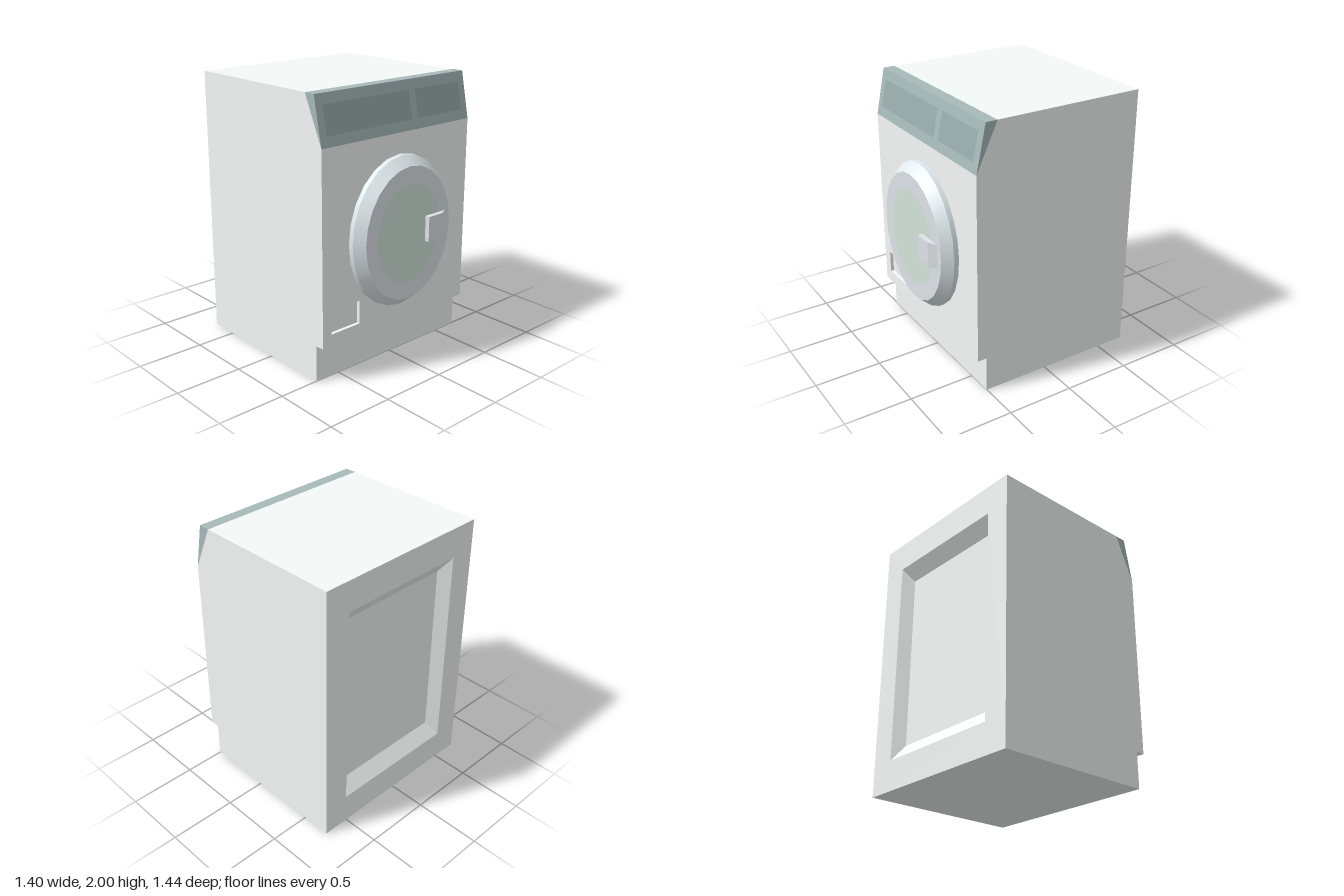
import * as THREE from 'three';

const W = 0.698, BACK = -0.72, FRONT = 0.572, TOE = 0.502;

const paint = (color) => new THREE.MeshStandardMaterial({ color });
const white = paint(0xf5f9f7);
const teal = paint(0xa7baba);
const tealDark = paint(0x98acac);
const steel = paint(0xe0eaee);
const doorGrey = paint(0xdfe4e8);
const glassGreen = paint(0xd3e4da);

function add(parent, name, geometry, material = white) {
  const mesh = new THREE.Mesh(geometry, material);
  mesh.name = name;
  parent.add(mesh);
  return mesh;
}

const polygon = (pts) => new THREE.Shape(pts.map(([x, y]) => new THREE.Vector2(x, y)));
const rect = (x0, y0, x1, y1) => [[x0, y0], [x1, y0], [x1, y1], [x0, y1]];

// Flat quads between two matching loops of 3D points
function loft(a, b, skip = []) {
  const pos = [];
  a.forEach((p, i) => {
    if (skip.includes(i)) return;
    const j = (i + 1) % a.length;
    pos.push(...p, ...a[j], ...b[j], ...p, ...b[j], ...b[i]);
  });
  const g = new THREE.BufferGeometry();
  g.setAttribute('position', new THREE.Float32BufferAttribute(pos, 3));
  g.computeVertexNormals();
  return g;
}

// Wall facing +z with a pocket sunk into it
function recessedWall(name, border, rim, floor, z, depth) {
  const group = new THREE.Group();
  group.name = name;
  const sheet = polygon(border);
  sheet.holes.push(polygon(rim));
  add(group, name + 'Sheet', new THREE.ShapeGeometry(sheet).translate(0, 0, z));
  add(group, name + 'PocketSides', loft(
    rim.map(([x, y]) => [x, y, z]),
    floor.map(([x, y]) => [x, y, z - depth])));
  add(group, name + 'PocketFloor',
    new THREE.ShapeGeometry(polygon(floor)).translate(0, 0, z - depth));
  return group;
}

function makeCabinet() {
  const cabinet = new THREE.Group();
  cabinet.name = 'cabinet';

  // Side outline as [z, y]; edges 1 and 4 are the recessed back and front walls
  const outline = [[TOE, 0], [BACK, 0], [BACK, 2], [0.415, 2],
    [FRONT, 1.66], [FRONT, 0.268], [TOE, 0.268]];
  add(cabinet, 'topBottomAndToeKick', loft(
    outline.map(([z, y]) => [-W, y, z]),
    outline.map(([z, y]) => [W, y, z]), [1, 4]));

  for (const [name, s] of [['leftSide', 1], ['rightSide', -1]]) {
    const side = new THREE.ShapeGeometry(polygon(outline.map(([z, y]) => [-s * z, y])));
    add(cabinet, name, side.rotateY(s * Math.PI / 2).translate(s * W, 0, 0));
  }

  // Front wall with the small service hatch
  const hatch = rect(-0.62, 0.357, -0.365, 0.53);
  cabinet.add(recessedWall('frontWall', rect(-W, 0.268, W, 1.66), hatch, hatch, FRONT, 0.025));

  // Back wall with a large sloping-sided recess
  const back = recessedWall('backWall', rect(-W, 0, W, 2),
    rect(-0.505, 0.225, 0.505, 1.775), rect(-0.435, 0.333, 0.435, 1.667), -BACK, 0.075);
  back.rotation.y = Math.PI;
  cabinet.add(back);
  return cabinet;
}

function makeControlPanel() {
  const panel = new THREE.Group();
  panel.name = 'controlPanel';
  const wedge = polygon([[FRONT, 1.66], [TOE, 2], [0.415, 2]]);
  add(panel, 'panelWedge',
    new THREE.ExtrudeGeometry(wedge, { depth: 2 * W, bevelEnabled: false })
      .rotateY(-Math.PI / 2).translate(W, 0, 0), teal);

  // Two darker fields lying on the slope
  const tilt = -Math.atan2(FRONT - TOE, 0.34);
  for (const [name, x0, x1] of [['drawerField', -0.64, 0.13], ['buttonField', 0.19, 0.637]]) {
    const field = add(panel, name, new THREE.PlaneGeometry(x1 - x0, 0.204), tealDark);
    field.position.set((x0 + x1) / 2, 1.83, (FRONT + TOE) / 2 + 0.001);
    field.rotation.x = tilt;
  }
  return panel;
}

function makeDoor() {
  const door = new THREE.Group();
  door.name = 'door';
  const oval = new THREE.Group();
  oval.name = 'doorOval';
  oval.scale.set(0.845, 1, 1);
  door.add(oval);

  // Straight rim and bevel are separate so the edge between them stays sharp
  const ring = (r0, z0, r1, z1) => new THREE.LatheGeometry(
    [new THREE.Vector2(r0, z0), new THREE.Vector2(r1, z1)], 24).rotateX(Math.PI / 2);
  add(oval, 'doorRim', ring(0.55, 0, 0.55, 0.037), steel);
  add(oval, 'doorBevel', ring(0.55, 0.037, 0.485, 0.11), steel);
  add(oval, 'doorFace', new THREE.CircleGeometry(0.485, 24).translate(0, 0, 0.11), doorGrey);
  add(oval, 'doorWindow', new THREE.CircleGeometry(0.36, 24).translate(0, 0, 0.111), glassGreen);

  // Wedge-ended grip
  const grip = polygon([[0.16, 0.1], [0.365, 0.1], [0.36, 0.11], [0.295, 0.147], [0.16, 0.147]]);
  add(door, 'doorHandle',
    new THREE.ExtrudeGeometry(grip, { depth: 0.187, bevelEnabled: false })
      .rotateX(Math.PI / 2).translate(0, 0.095, 0), doorGrey);

  door.position.set(0, 0.963, FRONT);
  return door;
}

export function createModel() {
  const model = new THREE.Group();
  model.name = 'washingMachine';
  model.add(makeCabinet(), makeControlPanel(), makeDoor());
  return model;
}
